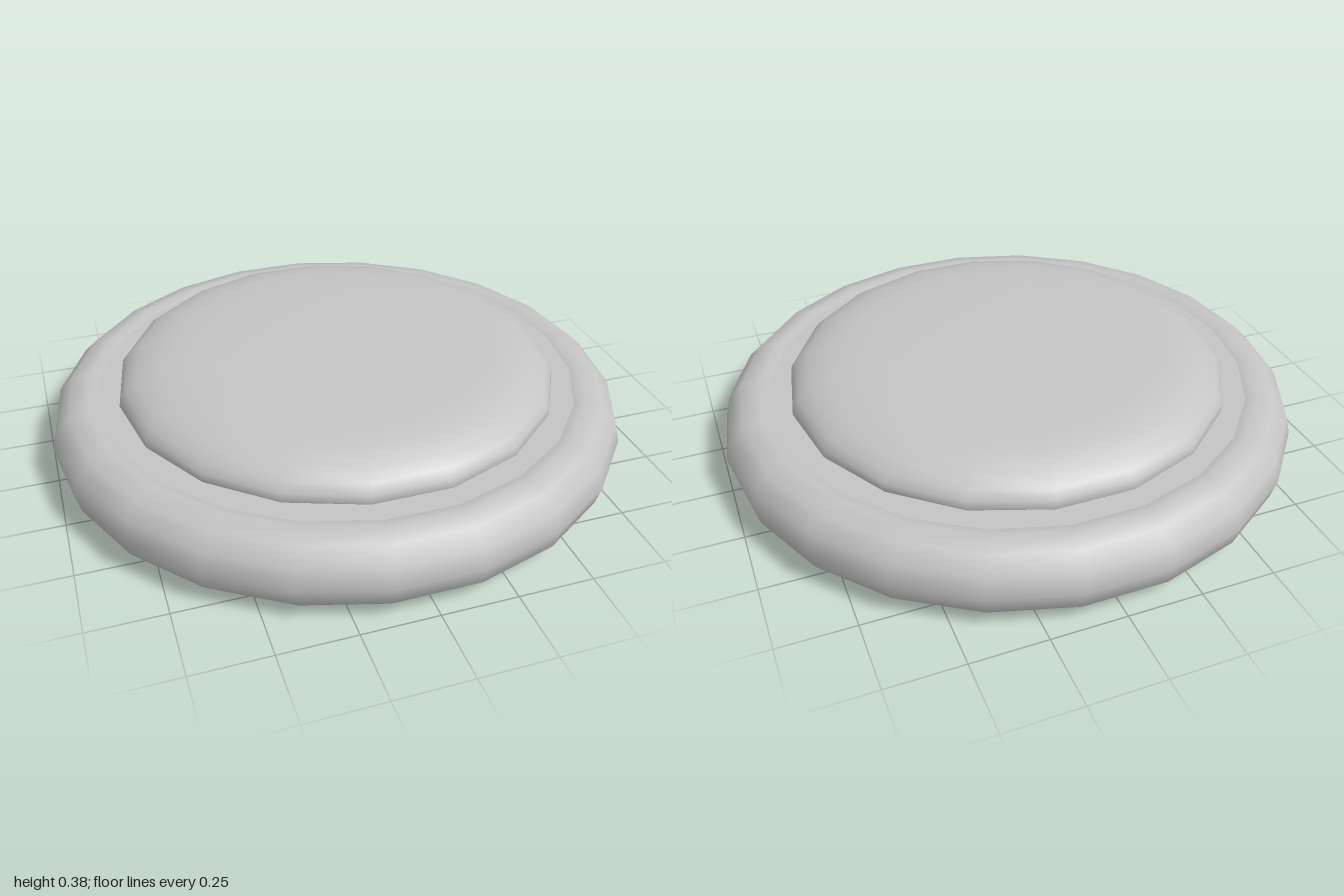
import * as THREE from 'three';

export function createModel() {
  const model = new THREE.Group();
  const grey = new THREE.MeshStandardMaterial({ color: 0xc4c4c4 });
  grey.name = 'light grey';

  const add = (name, geometry, y) => {
    const mesh = new THREE.Mesh(geometry, grey);
    mesh.name = name;
    mesh.position.y = y;
    model.add(mesh);
  };

  // Rounded outer rim
  const rim = new THREE.TorusGeometry(0.87, 0.13, 12, 22);
  rim.rotateX(Math.PI / 2);
  add('rim', rim, 0.13);

  // Flat plate filling the rim, just below its crest
  const plate = new THREE.CylinderGeometry(0.87, 0.87, 0.242, 22);
  plate.rotateY(Math.PI / 2);
  add('basePlate', plate, 0.13);

  // Cushioned dome on top
  const profile = [
    [0.755, -0.015], [0.765, 0], [0.76, 0.025], [0.74, 0.052], [0.7, 0.081],
    [0.63, 0.106], [0.55, 0.117], [0.44, 0.122], [0.22, 0.126], [0, 0.127],
  ].map(([r, y]) => new THREE.Vector2(r, y));
  const dome = new THREE.LatheGeometry(profile, 18);
  dome.rotateY(Math.PI / 2);
  add('dome', dome, 0.258);

  return model;
}
